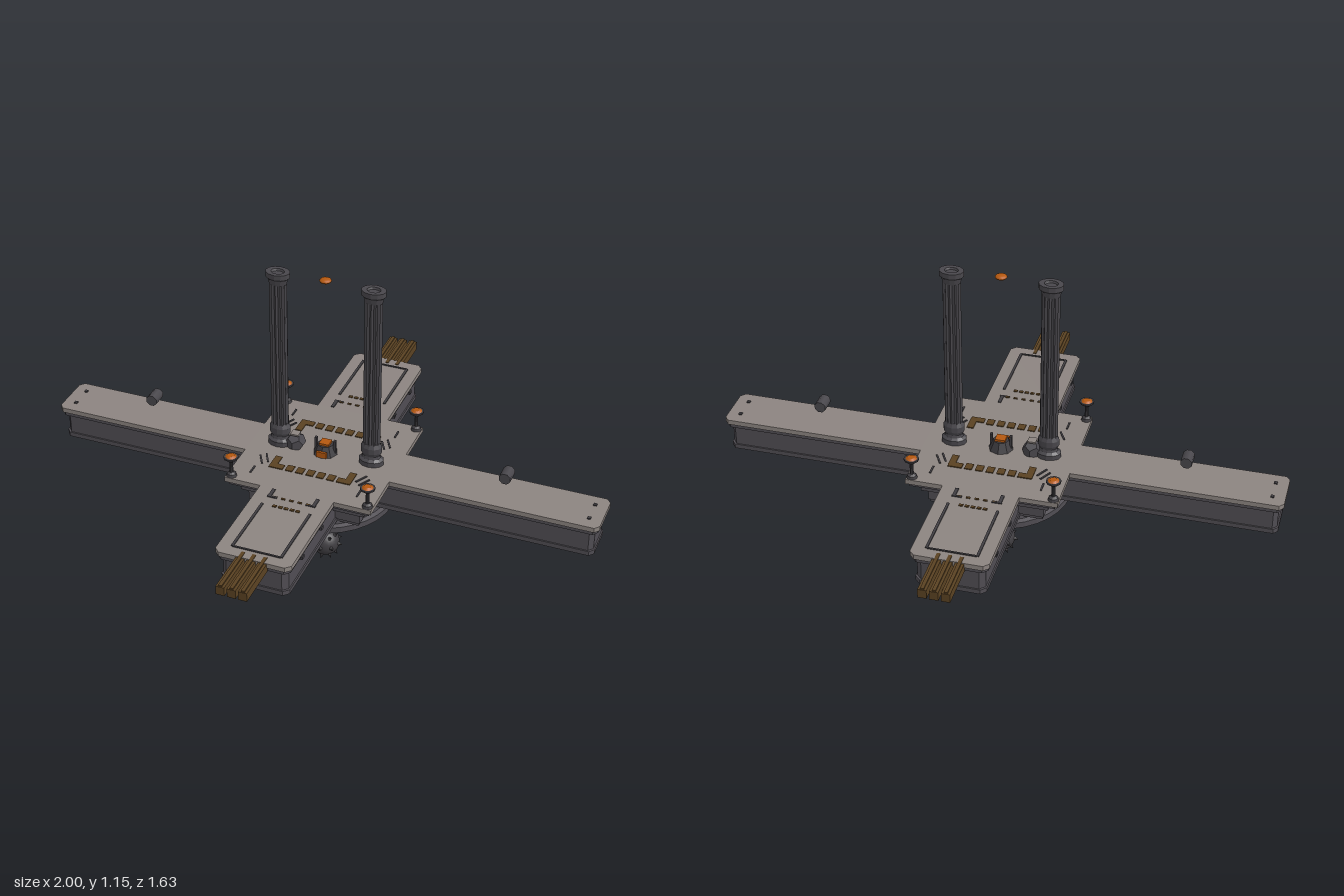
import * as THREE from 'three';

const paint = (name, color) => Object.assign(new THREE.MeshStandardMaterial({ color }), { name });

export function createModel() {
  const paleStone = paint('pale stone', 0x8c8480);
  const darkStone = paint('dark stone', 0x504d53);
  const columnStone = paint('column stone', 0x49474c);
  const iron = paint('iron', 0x3f3d41);
  const bronze = paint('bronze', 0x5a4222);
  const ember = paint('ember orange', 0xb4580f);
  const root = new THREE.Group();
  root.name = 'hangingPlatform';

  const add = (name, geo, mat, x = 0, y = 0, z = 0, parent = root) => {
    const mesh = new THREE.Mesh(geo, mat);
    mesh.name = name;
    mesh.position.set(x, y, z);
    parent.add(mesh);
    return mesh;
  };
  const group = (name, x, y, z, parent = root) => {
    const g = new THREE.Group();
    g.name = name;
    g.position.set(x, y, z);
    parent.add(g);
    return g;
  };
  const box = (name, mat, w, h, d, x, y, z, parent) =>
    add(name, new THREE.BoxGeometry(w, h, d), mat, x, y, z, parent);
  const lathe = (pts, sides) =>
    new THREE.LatheGeometry(pts.map(p => new THREE.Vector2(...p)), sides).toNonIndexed();
  const flat = geo => { geo.computeVertexNormals(); return geo; };

  // Cross-shaped tier: outline pulled in by inset, centre square half-width c
  const crossTier = (name, mat, y0, y1, inset, c) => {
    const q = [[1, 0.07], [0.985, 0.088], [c + inset, 0.088], [c + inset, c + inset],
      [0.134, c + inset], [0.134, 0.637], [0.116, 0.655]].map(([x, z]) => [x - inset, z - inset]);
    const r = [...q].reverse();
    const pts = [...q, ...r.map(([x, z]) => [-x, z]), ...q.map(([x, z]) => [-x, -z]), ...r.map(([x, z]) => [x, -z])];
    const shape = new THREE.Shape(pts.map(p => new THREE.Vector2(...p)));
    const geo = new THREE.ExtrudeGeometry(shape, { depth: y1 - y0, bevelEnabled: false });
    geo.rotateX(-Math.PI / 2);
    add(name, geo, mat, 0, y0, 0);
  };
  crossTier('deck', paleStone, 0.437, 0.455, 0, 0.267);
  crossTier('deckLip', darkStone, 0.422, 0.437, 0.006, 0.255);
  crossTier('armBody', darkStone, 0.345, 0.422, 0.018, 0.2);
  crossTier('armFoot', darkStone, 0.328, 0.345, 0.013, 0.2);

  // Stepped masonry under the centre
  box('upperStep', darkStone, 0.45, 0.035, 0.45, 0, 0.405, 0);
  box('upperStepBand', paleStone, 0.48, 0.012, 0.48, 0, 0.417, 0);
  box('lowerStep', darkStone, 0.41, 0.05, 0.41, 0, 0.365, 0);

  // Round underside
  add('undersideDisc', flat(lathe([[0, 0.264], [0.13, 0.265], [0.25, 0.288], [0.25, 0.31],
    [0.235, 0.315], [0.23, 0.338], [0, 0.338]], 32)), darkStone);

  // Fluted columns, slightly wider across than deep
  for (const s of [-1, 1]) {
    const column = group(s > 0 ? 'leftColumn' : 'rightColumn', s * 0.17, 0.455, 0);
    column.scale.z = 0.76;
    add('columnBase', flat(lathe([[0, 0], [0.045, 0], [0.045, 0.018], [0.034, 0.026], [0.031, 0.036],
      [0.038, 0.05], [0.038, 0.07], [0.03, 0.085], [0, 0.085]], 12)), columnStone, 0, 0, 0, column);
    const flutes = new THREE.Shape();
    for (let i = 0; i < 24; i++) {
      const a = i / 24 * Math.PI * 2, r = i % 2 ? 0.026 : 0.032;
      flutes[i ? 'lineTo' : 'moveTo'](Math.cos(a) * r, Math.sin(a) * r);
    }
    const shaft = new THREE.ExtrudeGeometry(flutes, { depth: 0.58, bevelEnabled: false });
    shaft.rotateX(-Math.PI / 2);
    add('columnShaft', shaft, columnStone, 0, 0.075, 0, column);
    add('columnCapital', flat(lathe([[0, 0.64], [0.031, 0.64], [0.036, 0.66], [0.043, 0.666],
      [0.043, 0.685], [0.024, 0.685], [0.02, 0.678], [0, 0.678]], 12)), columnStone, 0, 0, 0, column);
  }

  // Floating ember between the columns and floating blocks over the long arms
  add('floatingEmber', new THREE.SphereGeometry(0.021, 12, 6), ember, 0, 1.14, 0).scale.y = 0.4;
  for (const s of [-1, 1]) {
    const block = new THREE.CylinderGeometry(0.021, 0.021, 0.055, 8);
    block.rotateX(Math.PI / 2).rotateZ(Math.PI / 8);
    add('floatingBlock', block.toNonIndexed(), columnStone, s * 0.655, 0.527, 0);
    for (const t of [-1, 1]) box('deckStud', iron, 0.012, 0.006, 0.012, s * 0.955, 0.456, t * 0.04);
  }

  // Corner braziers
  for (const sx of [-1, 1]) for (const sz of [-1, 1]) {
    const brazier = group('brazier', sx * 0.248, 0.455, sz * 0.248);
    add('brazierStand', flat(lathe([[0, 0], [0.019, 0], [0.016, 0.01], [0.007, 0.016], [0.006, 0.055],
      [0.012, 0.062], [0.026, 0.073], [0.026, 0.079], [0, 0.079]], 10)), iron, 0, 0, 0, brazier);
    add('brazierFire', new THREE.CylinderGeometry(0.012, 0.022, 0.007, 10), ember, 0, 0.081, 0, brazier);
  }

  // Central shrine with ember core and horns
  const shrine = group('shrine', 0, 0.455, 0);
  add('shrineBody', flat(new THREE.CylinderGeometry(0.028, 0.044, 0.036, 8).toNonIndexed()), iron, 0, 0.018, 0, shrine);
  box('shrineCore', ember, 0.036, 0.012, 0.036, 0, 0.038, 0, shrine);
  box('shrineFace', ember, 0.038, 0.022, 0.008, 0, 0.014, 0.04, shrine);
  for (const s of [-1, 1]) box('shrineHorn', iron, 0.008, 0.055, 0.012, s * 0.035, 0.028, 0, shrine);

  // Boulder beside the right column
  const boulder = add('boulder', new THREE.DodecahedronGeometry(0.038), columnStone, -0.112, 0.472, 0);
  boulder.scale.set(0.95, 0.9, 1);
  box('boulderCap', paleStone, 0.03, 0.006, 0.03, -0.112, 0.506, 0);

  // Bronze inlays and dark grooves on the deck
  const inlay = (name, mat, w, d, x, z) => box(name, mat, w, 0.005, d, x, 0.456, z);
  for (const sz of [-1, 1]) {
    for (let i = -2; i <= 2; i++) {
      inlay('centreInlay', bronze, 0.026, 0.032, i * 0.038, sz * 0.14);
      inlay('armInlay', bronze, 0.014, 0.01, i * 0.021, sz * 0.36);
      inlay('thresholdInlay', bronze, 0.014, 0.007, i * 0.03, sz * 0.313);
    }
    inlay('panelGroove', iron, 0.17, 0.006, 0, sz * 0.61);
    for (const sx of [-1, 1]) {
      inlay('cornerInlay', bronze, 0.05, 0.026, sx * 0.124, sz * 0.143);
      inlay('cornerInlay', bronze, 0.024, 0.06, sx * 0.138, sz * 0.118);
      inlay('panelGroove', iron, 0.009, 0.25, sx * 0.086, sz * 0.485);
      inlay('bracketGroove', iron, 0.012, 0.045, sx * 0.08, sz * 0.295);
      inlay('bracketGroove', iron, 0.035, 0.007, sx * 0.07, sz * 0.315);
      for (const k of [0, 0.016])
        inlay('chevronGroove', iron, 0.006, 0.05, sx * (0.19 - k), sz * (0.125 - k)).rotation.y = sx * sz * -0.5;
      inlay('edgeGroove', iron, 0.006, 0.04, sx * 0.195, sz * 0.19);
      // Studs along the short arms
      for (const z of [0.36, 0.53]) box('sideStud', iron, 0.012, 0.012, 0.018, sx * 0.125, 0.413, sz * z);
    }
    // Bronze rails running out of the short arms
    const rails = group('bronzeRails', 0, 0.436, sz * 0.72);
    for (let i = -1; i <= 1; i++) {
      box('rail', bronze, 0.03, 0.032, 0.19, i * 0.039, 0, 0, rails);
      box('railCrest', bronze, 0.012, 0.007, 0.185, i * 0.039, 0.018, 0, rails);
    }
    for (const z of [-0.04, 0.05]) box('railTie', bronze, 0.106, 0.01, 0.02, 0, -0.013, z * sz, rails);
  }

  // Chain of diamond links
  for (let i = 0; i < 5; i++) {
    const link = add('chainLink', new THREE.OctahedronGeometry(0.019), iron, 0, 0.128 + i * 0.032, 0);
    link.scale.set(0.55, 1, 0.55);
    link.rotation.y = i % 2 * Math.PI / 4;
  }

  // Spiked ball
  const ball = group('spikedBall', 0, 0.066, 0);
  add('ballCore', new THREE.SphereGeometry(0.051, 20, 14), iron, 0, 0, 0, ball);
  const up = new THREE.Vector3(0, 1, 0);
  const spike = (elev, turn) => {
    const dir = new THREE.Vector3(Math.cos(elev) * Math.cos(turn), Math.sin(elev), Math.cos(elev) * Math.sin(turn));
    const cone = add('spike', new THREE.ConeGeometry(0.009, 0.02, 6), iron, 0, 0, 0, ball);
    cone.position.copy(dir).multiplyScalar(0.056);
    cone.quaternion.setFromUnitVectors(up, dir);
  };
  spike(-Math.PI / 2, 0);
  for (let i = 0; i < 8; i++) {
    spike(0, i * Math.PI / 4);
    if (i % 2) { spike(0.75, i * Math.PI / 4); spike(-0.75, i * Math.PI / 4); }
    else { spike(0.78, i * Math.PI / 4); spike(-0.78, i * Math.PI / 4); }
  }
  return root;
}
